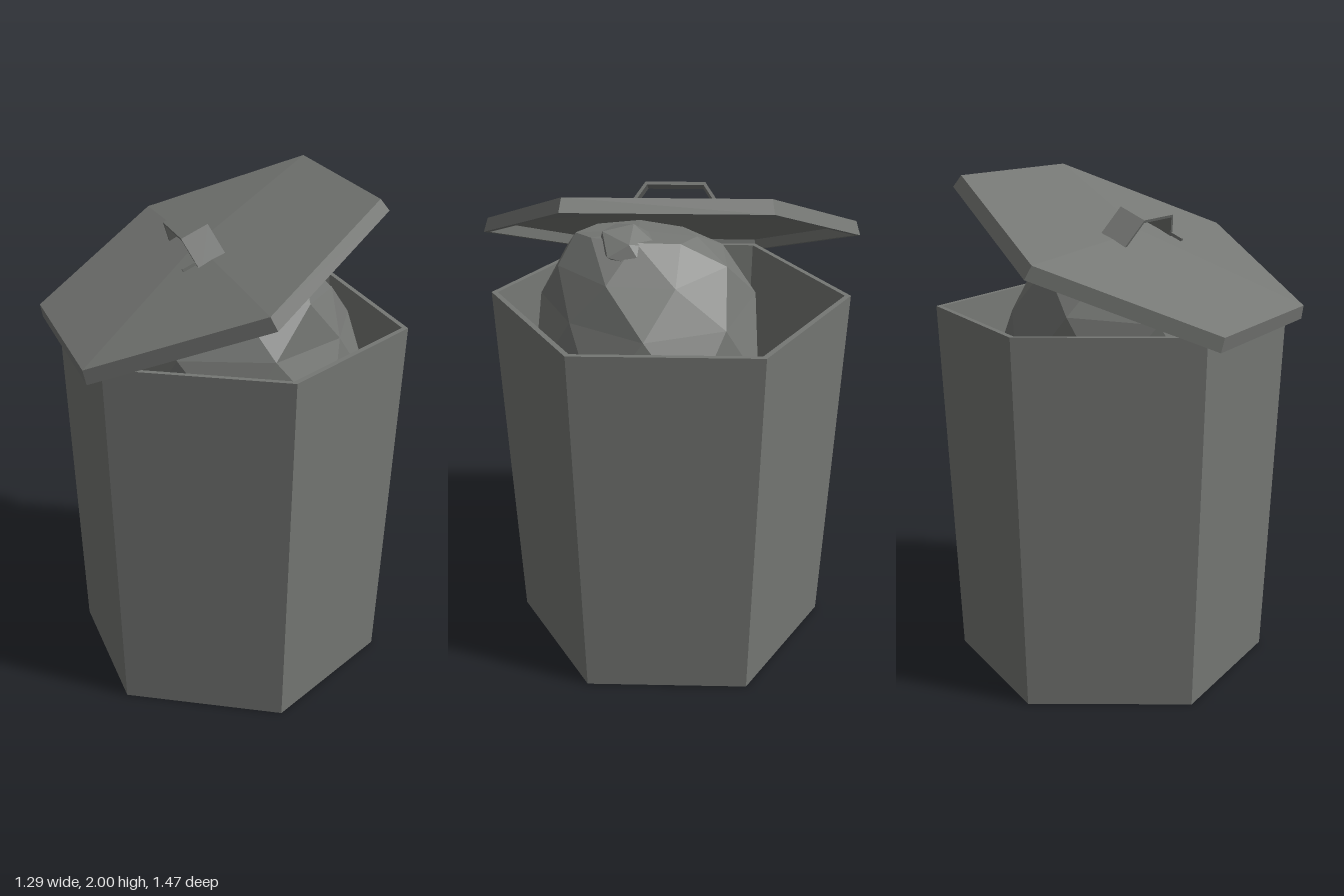
import * as THREE from 'three';

const metalGrey = new THREE.MeshStandardMaterial({ color: 0x757774, flatShading: true });
metalGrey.name = 'metalGrey';

function part(name, geometry) {
  const g = geometry.index ? geometry.toNonIndexed() : geometry;
  g.computeVertexNormals();
  const mesh = new THREE.Mesh(g, metalGrey);
  mesh.name = name;
  return mesh;
}

// Six-sided turned solid from [radius, height] pairs
function hexLathe(pairs) {
  return new THREE.LatheGeometry(pairs.map(([r, y]) => new THREE.Vector2(r, y)), 6);
}

// Faceted sack from rings [y, centreX, centreZ, radiusX, radiusZ]
function sackGeometry(rings, sides) {
  let seed = 11;
  const rand = () => (seed = (seed * 16807) % 2147483647) / 2147483647;
  const pos = [], index = [];
  rings.forEach(([y, cx, cz, rx, rz], j) => {
    for (let i = 0; i < sides; i++) {
      const a = ((i + (j % 2) * 0.5) / sides) * Math.PI * 2;
      const k = 0.96 + rand() * 0.08;
      pos.push(cx + Math.sin(a) * rx * k, y + (rand() - 0.5) * 0.03, cz + Math.cos(a) * rz * k);
    }
  });
  for (let j = 0; j < rings.length - 1; j++) {
    for (let i = 0; i < sides; i++) {
      const n = (i + 1) % sides;
      const a = j * sides + i, b = j * sides + n, c = a + sides, d = b + sides;
      if (j % 2) index.push(a, b, d, a, d, c);
      else index.push(a, b, c, b, d, c);
    }
  }
  // End caps
  const last = rings.length - 1, top = pos.length / 3;
  pos.push(rings[last][1], rings[last][0] + 0.01, rings[last][2]);
  pos.push(rings[0][1], rings[0][0] - 0.03, rings[0][2]);
  for (let i = 0; i < sides; i++) {
    const n = (i + 1) % sides;
    index.push(top, last * sides + i, last * sides + n, top + 1, n, i);
  }
  const g = new THREE.BufferGeometry();
  g.setAttribute('position', new THREE.Float32BufferAttribute(pos, 3));
  g.setIndex(index);
  return g;
}

export function createModel() {
  const model = new THREE.Group();
  model.name = 'trashCan';

  // Tapered hollow can
  const can = part('can', hexLathe([
    [0, 0], [0.64, 0], [0.704, 1.475], [0.68, 1.475], [0.62, 0.05], [0, 0.05],
  ]));
  can.position.x = 0.035;
  model.add(can);

  // Rubbish bag bulging above the rim
  model.add(part('rubbishBag', sackGeometry([
    [0.85, 0.05, 0.05, 0.38, 0.38],
    [1.22, 0.06, 0.09, 0.52, 0.47],
    [1.475, 0.035, 0.085, 0.46, 0.41],
    [1.64, 0.07, 0.1, 0.33, 0.33],
    [1.75, 0.11, 0.12, 0.15, 0.23],
  ], 8)));

  // Gathered knot of the bag
  const knot = part('bagKnot', new THREE.IcosahedronGeometry(1, 0));
  knot.scale.set(0.12, 0.06, 0.125);
  knot.rotation.set(-0.25, 0, -0.35);
  knot.position.set(0.21, 1.735, 0.15);
  model.add(knot);

  // Tilted lid, slightly conical, with a flared rim
  const lid = new THREE.Group();
  lid.name = 'lid';
  lid.position.set(-0.077, 1.742, 0);
  lid.rotation.z = 0.426;
  lid.add(part('lidPlate', hexLathe([
    [0, 0.03], [0.7, -0.015], [0.712, -0.055], [0.735, -0.055], [0.72, 0], [0, 0.05],
  ])));

  // Bent strap handle
  const strap = new THREE.Shape([
    [-0.185, 0.02], [-0.1, 0.139], [0.13, 0.139], [0.21, 0.02],
    [0.195, 0.02], [0.124, 0.127], [-0.094, 0.127], [-0.17, 0.02],
  ].map(([x, y]) => new THREE.Vector2(x, y)));
  const strapGeometry = new THREE.ExtrudeGeometry(strap, { depth: 0.114, bevelEnabled: false });
  strapGeometry.rotateY(Math.PI / 2).translate(-0.06, 0, 0);
  lid.add(part('handle', strapGeometry));

  // Small bent tab at the foot of the handle
  const tab = part('handleTab', new THREE.BoxGeometry(0.06, 0.012, 0.014));
  tab.position.set(-0.085, 0.05, 0.152);
  lid.add(tab);
  model.add(lid);

  return model;
}
